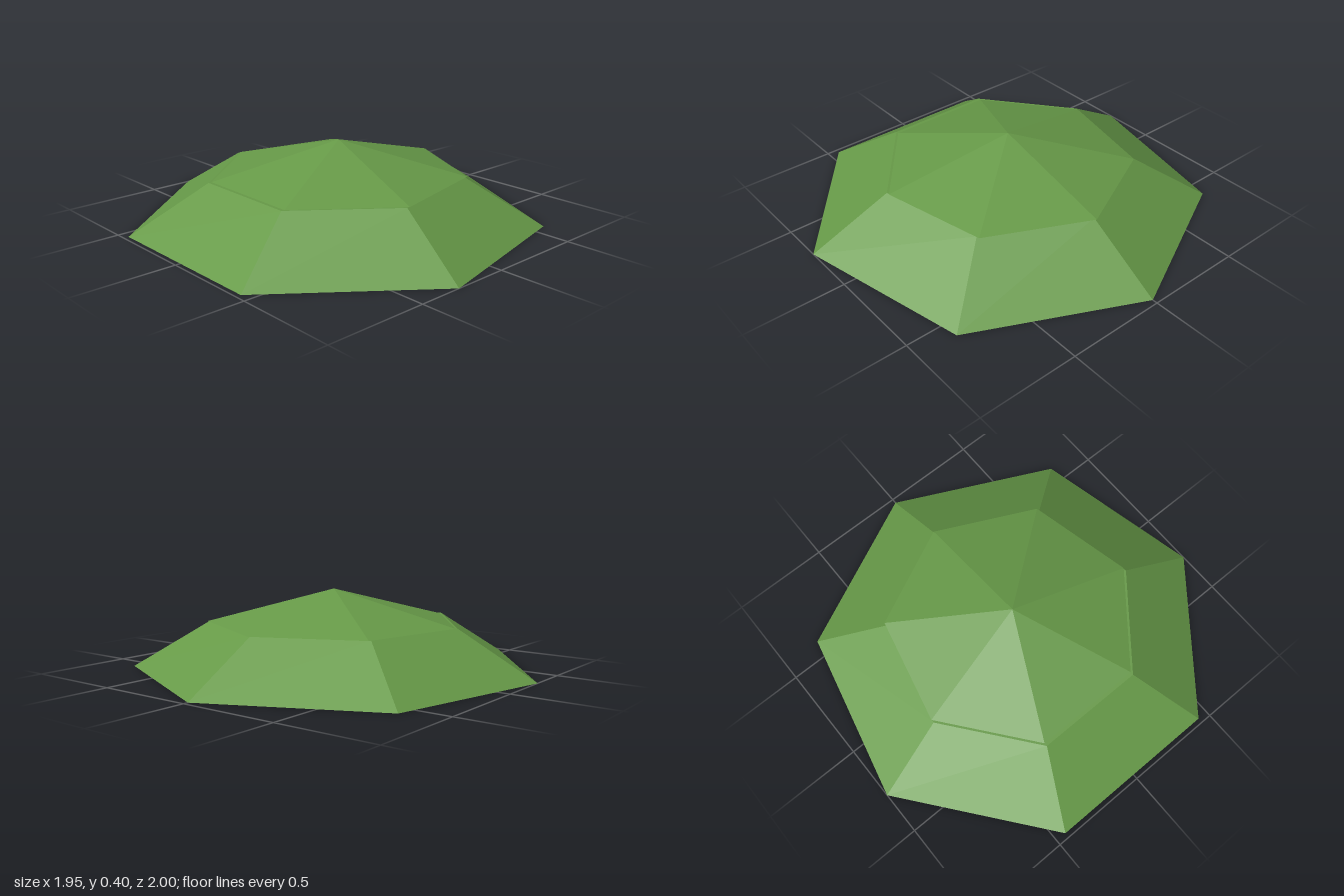
import * as THREE from 'three';

export function createModel() {
  const model = new THREE.Group();
  model.name = 'lowMound';

  const grassGreen = new THREE.MeshStandardMaterial({ color: 0x679a48 });
  grassGreen.name = 'grass green';

  // Seven-sided tier with one corner pointing to +x
  function addTier(name, topRadius, bottomRadius, bottomY, topY, x) {
    const height = topY - bottomY;
    const indexed = new THREE.CylinderGeometry(topRadius, bottomRadius, height, 7, 1, false, Math.PI / 2);
    const geometry = indexed.toNonIndexed();
    geometry.computeVertexNormals(); // one flat normal per facet
    const mesh = new THREE.Mesh(geometry, grassGreen);
    mesh.name = name;
    mesh.position.set(x, bottomY + height / 2, 0);
    model.add(mesh);
  }

  // Sloping base, then a shallow peak set slightly off centre
  addTier('moundBase', 0.636, 1.026, 0, 0.232, -0.051);
  addTier('moundPeak', 0, 0.636, 0.232, 0.396, -0.034);

  return model;
}
